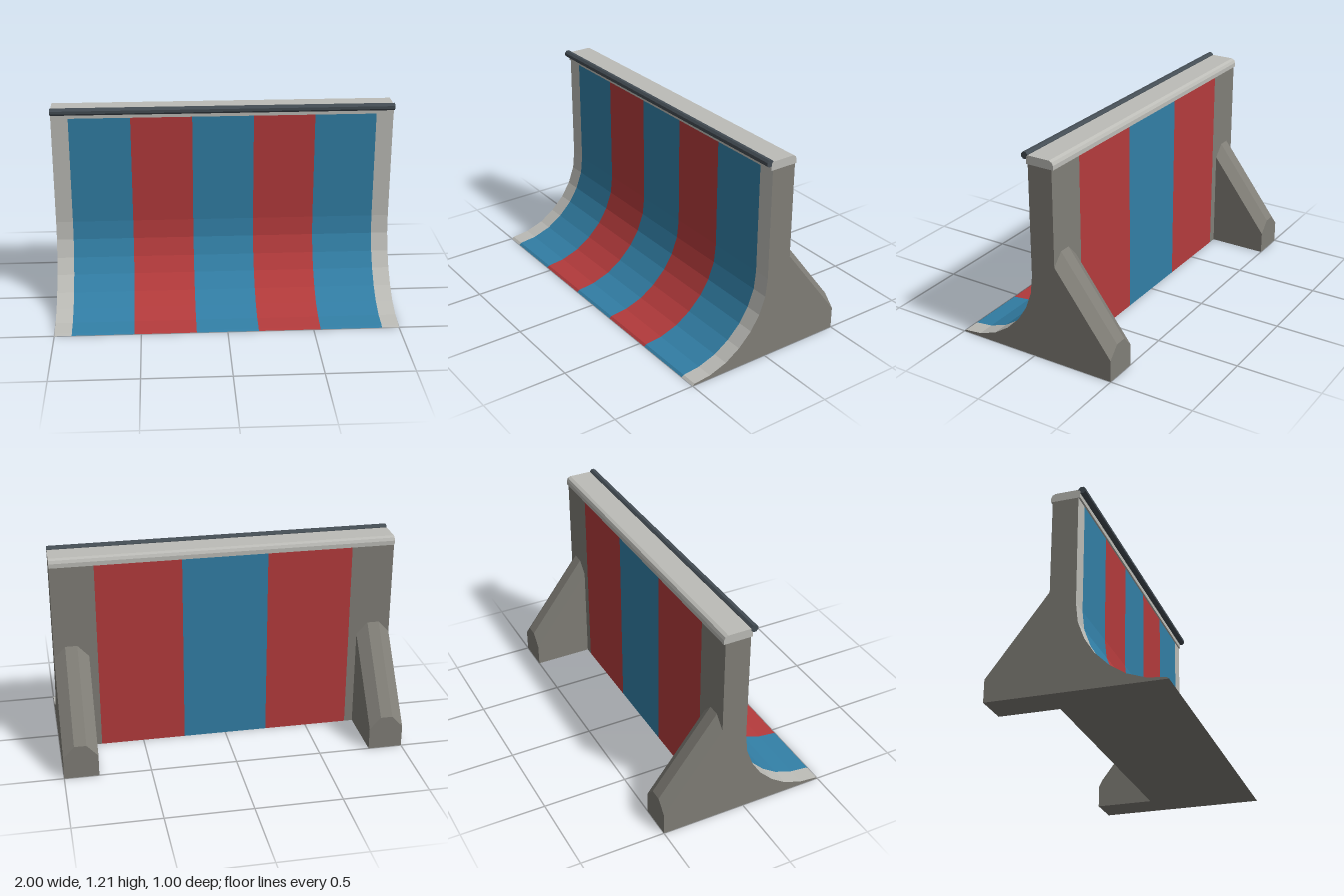
import * as THREE from 'three';

const mat = (name, color) => {
  const m = new THREE.MeshStandardMaterial({ color });
  m.name = name;
  return m;
};

// Flat-shaded band: a (z, y) path swept straight from x0 to x1
function band(path, x0, x1) {
  const pos = [];
  for (let i = 0; i < path.length - 1; i++) {
    const [za, ya] = path[i], [zb, yb] = path[i + 1];
    pos.push(x0, ya, za, x1, ya, za, x1, yb, zb, x0, ya, za, x1, yb, zb, x0, yb, zb);
  }
  const g = new THREE.BufferGeometry();
  g.setAttribute('position', new THREE.Float32BufferAttribute(pos, 3));
  g.computeVertexNormals();
  return g;
}

const shapeOf = (pts) => new THREE.Shape(pts.map(([a, b]) => new THREE.Vector2(a, b)));

export function createModel() {
  const group = new THREE.Group();
  const light = mat('light concrete', 0xbcbcb7);
  const dark = mat('dark concrete', 0x807e77);
  const blue = mat('blue paint', 0x327fa6);
  const red = mat('red paint', 0xb43b3c);
  const metal = mat('dark metal', 0x444d54);

  const add = (name, geometry, material) => {
    const mesh = new THREE.Mesh(geometry, material);
    mesh.name = name;
    group.add(mesh);
    return mesh;
  };

  // Curved riding face, from the toe up to the vertical wall
  const front = [[0.5, 0], [0.487, 0.01], [0.383, 0.022], [0.275, 0.06], [0.185, 0.12],
    [0.105, 0.2], [0.05, 0.287], [0.012, 0.39], [0, 0.5], [0, 1.15]];
  const back = [[-0.15, 1.15], [-0.15, 0]];

  // Painted columns with plain margins, front and back
  function paint(name, path, half, count, first, second, margin) {
    const w = (2 * half) / count;
    for (let i = 0; i < count; i++) {
      add(name + 'Stripe', band(path, -half + i * w, -half + (i + 1) * w), i % 2 ? second : first);
    }
    add(name + 'Margin', band(path, -1, -half), margin);
    add(name + 'Margin', band(path, half, 1), margin);
  }
  paint('front', front, 0.9, 5, blue, red, light);
  paint('back', back, 0.75, 3, red, blue, dark);
  add('underside', band([[-0.15, 0], [0.5, 0]], -1, 1), dark);

  // End walls
  const outline = [...front, ...back];
  for (const s of [-1, 1]) {
    const g = new THREE.ShapeGeometry(shapeOf(outline.map(([z, y]) => [-s * z, y])));
    g.rotateY(s * Math.PI / 2);
    add(s > 0 ? 'leftEndWall' : 'rightEndWall', g, dark).position.x = s;
  }

  // Sloping rear buttresses with chamfered tops
  const section = [[-0.1, 0], [0.1, 0], [0.1, 0.13], [0.035, 0.2], [-0.035, 0.2], [-0.1, 0.13]];
  for (const s of [-1, 1]) {
    const g = new THREE.ExtrudeGeometry(shapeOf(section), { depth: 0.35, bevelEnabled: false });
    const p = g.attributes.position;
    for (let i = 0; i < p.count; i++) {
      if (p.getY(i) > 0.01) p.setY(i, p.getY(i) + (0.46 * p.getZ(i)) / 0.35);
    }
    g.computeVertexNormals();
    add(s > 0 ? 'leftButtress' : 'rightButtress', g, dark).position.set(s * 0.9, 0, -0.5);
  }

  // Top deck with a rounded rear edge
  const deck = [[-0.01, 1.15], [0.16, 1.15], [0.16, 1.175], [0.152, 1.192], [0.135, 1.2],
    [0, 1.2], [-0.01, 1.19]];
  const deckGeo = new THREE.ExtrudeGeometry(shapeOf(deck), { depth: 2, bevelEnabled: false });
  deckGeo.rotateY(Math.PI / 2);
  add('topDeck', deckGeo, light).position.x = -1;

  // Coping rail
  const rail = new THREE.CylinderGeometry(0.0215, 0.0215, 2, 8).toNonIndexed();
  rail.rotateY(Math.PI / 8).rotateZ(Math.PI / 2);
  rail.computeVertexNormals();
  add('copingRail', rail, metal).position.set(0, 1.195, 0.02);

  return group;
}
